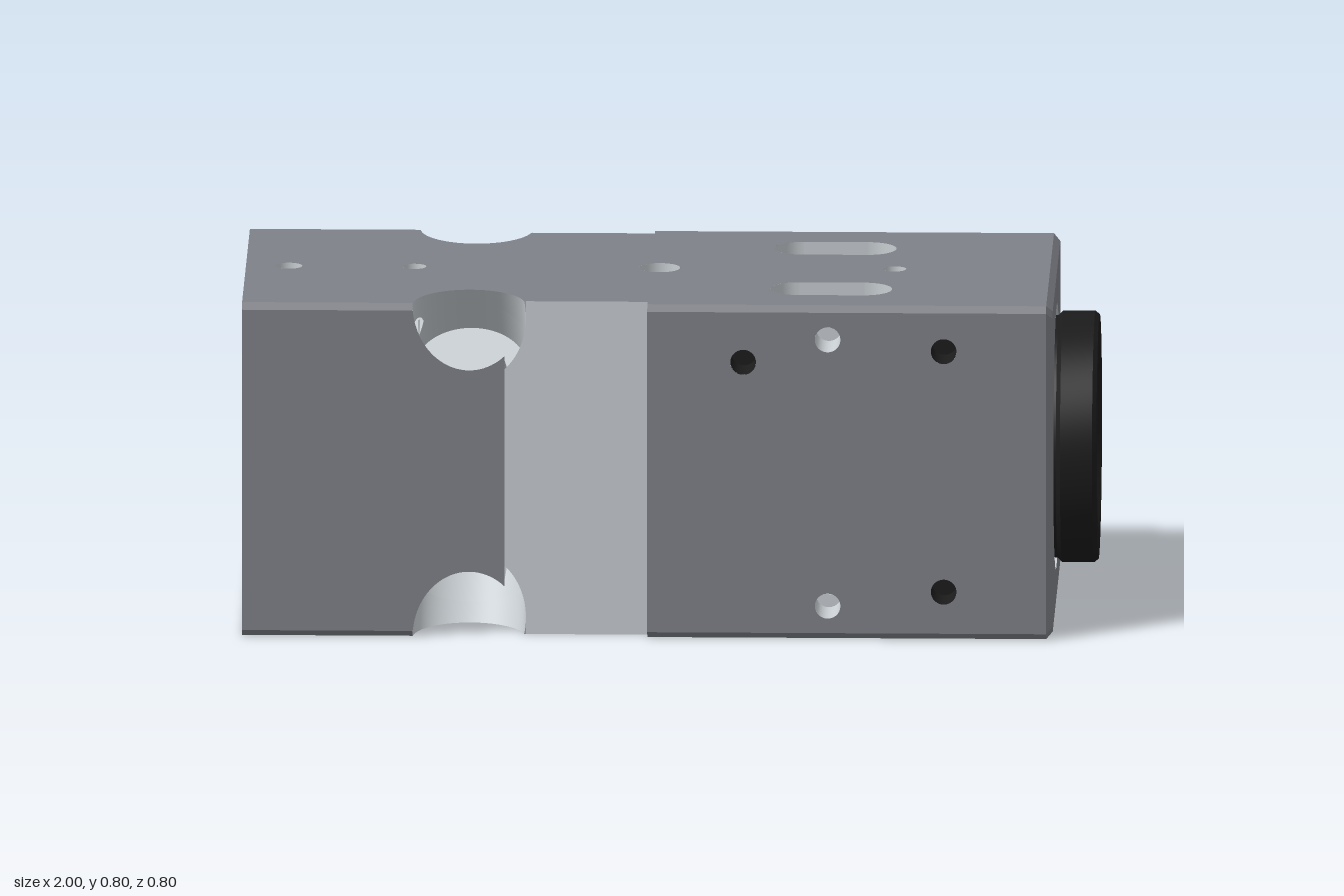
import * as THREE from 'three';
import { toCreasedNormals } from 'three/addons/utils/BufferGeometryUtils.js';
import { ParametricGeometry } from 'three/addons/geometries/ParametricGeometry.js';

const mat = (color) => new THREE.MeshStandardMaterial({ color, side: THREE.DoubleSide });
const V = (x, y, z) => new THREE.Vector3(x, y, z);
const SIGNS = [1, -1];

// Main sizes (the body axis runs along x at y = 0 before lifting)
const H = 0.4, C = 0.015, E = 0.9;                 // half height, chamfer, end of body
const R0 = -0.385, R1 = -0.05, RZ = 0.36;          // side recess
const PX = -0.4675, PA = 0.1325, PT = 0.158;       // corner pocket: centre, half width, reach
const PB = PT / Math.SQRT2, PD = -0.28;            // pocket half width across, depth
const BOLT = 0.28, BR = 0.06;                      // bolt hole position and radius
const SX = 0.377, SZ = 0.213, SR = 0.067, SL = 0.076; // slots
const R = 0.285;                                   // bore radius at the slots

export function createModel() {
  const model = new THREE.Group();
  const body = new THREE.Group();
  body.name = 'housing';
  body.position.y = H;
  model.add(body);
  const shell = mat(0x7f8188), metal = mat(0xc8ced2), black = mat(0x1b1b1b);

  const add = (name, geo, m) => {
    const mesh = new THREE.Mesh(geo, m);
    mesh.name = name;
    body.add(mesh);
    return mesh;
  };
  // Flat panel with u, v axes and an origin
  const panel = (name, shape, u, v, pos, m) => {
    const n = u.clone().cross(v);
    const geo = new THREE.ShapeGeometry(shape, 40);
    geo.applyMatrix4(new THREE.Matrix4().makeBasis(u, v, n).setPosition(pos));
    return add(name, geo, m);
  };
  // Surface given by a rule (u, v) -> point
  const surface = (name, fn, nu, nv, m) => {
    const geo = new ParametricGeometry((u, v, t) => t.copy(fn(u, v)), nu, nv);
    geo.computeVertexNormals();
    return add(name, geo, m);
  };
  const quad = (name, a, b, c, d, m) =>
    surface(name, (u, v) => a.clone().lerp(b, u).lerp(d.clone().lerp(c, u), v), 1, 1, m);
  // Open round wall between two points, with an optional floor at the second
  const tube = (name, r, a, b, m, floor) => {
    const dir = b.clone().sub(a);
    const q = new THREE.Quaternion().setFromUnitVectors(V(0, 1, 0), dir.clone().normalize());
    const t = add(name, new THREE.CylinderGeometry(r, r, dir.length(), 28, 1, true), m);
    t.position.copy(a).add(b).multiplyScalar(0.5);
    t.quaternion.copy(q);
    if (floor) {
      const f = add(name + 'Floor', new THREE.CircleGeometry(r, 28).rotateX(-Math.PI / 2), floor);
      f.position.copy(b);
      f.quaternion.copy(q);
    }
  };
  const lathe = (name, pts, m) => {
    const geo = new THREE.LatheGeometry(pts.map(([r, x]) => new THREE.Vector2(r, x)), 72);
    return add(name, toCreasedNormals(geo.rotateZ(-Math.PI / 2), 0.6), m);
  };
  const circle = (shape, x, y, r) => shape.holes.push(new THREE.Path().absarc(x, y, r, 0, Math.PI * 2, true));

  // Half width of the pocket mouth at x, and outlines that follow an edge rule
  const mouth = (x) => PT * Math.sqrt(Math.max(0, 1 - ((x - PX) / PA) ** 2));
  const outline = (x0, x1, edge) => {
    const xs = [x0, x1, R1 - 1e-4, R1 + 1e-4];
    for (let i = 0; i <= 48; i++) xs.push(PX - PA * Math.cos((Math.PI * i) / 48));
    const list = xs.filter((x) => x >= x0 && x <= x1).sort((a, b) => a - b);
    const top = list.map((x) => new THREE.Vector2(x, edge(x)));
    const low = list.map((x) => new THREE.Vector2(x, -edge(x))).reverse();
    return new THREE.Shape([...top, ...low]);
  };
  const inPocket = (x) => Math.abs(x - PX) < PA;
  const inRecess = (x) => x > R0 && x < R1;
  const X = V(1, 0, 0), Y = V(0, 1, 0), Z = V(0, 0, 1);

  // Top and bottom faces with slots and round holes
  const topEdge = (x) => Math.min(inRecess(x) ? RZ : H - C, inPocket(x) ? H - mouth(x) : H);
  for (const s of SIGNS) {
    const shape = outline(-1, E - C, topEdge);
    for (const k of SIGNS) {
      const slot = new THREE.Path();
      slot.absarc(SX + SL, k * SZ, SR, -Math.PI / 2, Math.PI / 2);
      slot.absarc(SX - SL, k * SZ, SR, Math.PI / 2, Math.PI * 1.5);
      shape.holes.push(slot);
    }
    const holes = [[-0.605, 0.028], [0.52, 0.028]];
    if (s > 0) holes.push([-0.9, 0.032], [-0.03, 0.048]);
    for (const [x, r] of holes) {
      circle(shape, x, 0, r);
      tube('threadedHole', r, V(x, s * H, 0), V(x, s * (H - 0.06), 0), metal, metal);
    }
    panel(s > 0 ? 'topFace' : 'bottomFace', shape, X, Z, V(0, s * H, 0), shell);
  }
  const port = add('portCentre', new THREE.CylinderGeometry(0.016, 0.016, 0.004, 20), black);
  port.position.set(-0.03, H - 0.057, 0);

  // Front and back faces, recess and cross holes
  const sideEdge = (x) => Math.min(H - C, inPocket(x) ? H - mouth(x) : H);
  const recessEdge = (x) => (inPocket(x) ? RZ - mouth(x) : H);
  for (const s of SIGNS) {
    panel('sideFaceRear', outline(-1, R0, sideEdge), X, Y, V(0, 0, s * H), shell);
    const main = outline(R1, E - C, () => H - C);
    for (const k of SIGNS) {
      circle(main, SX - 0.004, k * 0.32, 0.03);
      tube('crossHole', 0.03, V(SX - 0.004, k * 0.32, s * H), V(SX - 0.004, k * 0.32, s * (SZ + SR)), metal);
    }
    for (const [x, y] of [[0.175, 0.265], [0.645, 0.293], [0.645, -0.285]]) {
      circle(main, x, y, 0.03);
      tube('screwHole', 0.03, V(x, y, s * H), V(x, y, s * 0.3), black, black);
    }
    panel('sideFaceMain', main, X, Y, V(0, 0, s * H), shell);
    panel('recessFace', outline(R0, R1, recessEdge), X, Y, V(0, 0, s * RZ), metal);
    for (const [x, y] of [[R0, recessEdge(R0)], [R1, H]])
      quad('recessStep', V(x, -y, s * RZ), V(x, y, s * RZ), V(x, y - C, s * H), V(x, C - y, s * H), metal);
    // Chamfers along the long edges
    for (const k of SIGNS)
      for (const [a, b] of [[-1, PX - PA], [R1, E - C]])
        quad('edgeChamfer', V(a, k * H, s * (H - C)), V(b, k * H, s * (H - C)),
          V(b, k * (H - C), s * H), V(a, k * (H - C), s * H), shell);
  }
  for (const k of SIGNS)
    tube('crossHoleMiddle', 0.03, V(SX - 0.004, k * 0.32, SZ - SR), V(SX - 0.004, k * 0.32, SR - SZ), metal);

  // Corner pockets: round cutter sunk along the diagonal, crossed by a bolt hole
  for (const sy of SIGNS) for (const sz of SIGNS) {
    const at = (x, e, w) => V(x, sy * (H + (w + e) / Math.SQRT2), sz * (H + (w - e) / Math.SQRT2));
    const rows = (phi) => {
      const x = PX + PA * Math.cos(phi), e = PB * Math.sin(phi);
      let exit = Math.min(-Math.abs(e), -C / Math.SQRT2);
      if (inRecess(x)) exit = Math.min(exit, e - (H - RZ) * Math.SQRT2);
      const half = Math.cos(phi) < 0 ? Math.sqrt(Math.max(0, BR * BR - e * e)) : 0;
      const mid = (BOLT - H) * Math.SQRT2;
      return { x, e, w: [exit, Math.min(exit, mid + half), mid - half, PD] };
    };
    for (const i of [0, 2])
      surface('pocketWall', (u, v) => {
        const { x, e, w } = rows(u * Math.PI * 2);
        return at(x, e, w[i] + (w[i + 1] - w[i]) * v);
      }, 96, 1, metal);
    surface('pocketFloor', (u, v) => at(PX + PA * v * Math.cos(u * Math.PI * 2),
      PB * v * Math.sin(u * Math.PI * 2), PD), 48, 1, metal);
    tube('boltHole', BR, V(-1, sy * BOLT, sz * BOLT), V(PX - PA + 0.012, sy * BOLT, sz * BOLT), metal);
  }

  // Slot walls, reaching down to the bore
  const boreY = (z) => Math.sqrt(Math.max(0, R * R - z * z));
  for (const sy of SIGNS) for (const sz of SIGNS) {
    for (const sx of SIGNS)
      surface('slotEnd', (u, v) => {
        const a = (u - 0.5) * Math.PI, z = SZ + SR * Math.sin(a);
        return V(SX + sx * (SL + SR * Math.cos(a)), sy * (H + (boreY(z) - H) * v), sz * z);
      }, 20, 1, metal);
    for (const z of [SZ - SR, SZ + SR]) {
      const y = boreY(z), wall = new THREE.Shape();
      wall.moveTo(SX - SL, y).lineTo(SX + SL, y).lineTo(SX + SL, H).lineTo(SX - SL, H);
      circle(wall, SX - 0.004, 0.32, 0.03);
      panel('slotSide', wall, X, V(0, sy, 0), V(0, 0, sz * z), metal);
    }
  }

  // Stepped bore: plain lengths, then the slotted length as four strips
  const s0 = SX - SL - SR, s1 = SX + SL + SR;
  lathe('boreRear', [[0.285, -1], [0.285, -0.93], [0.262, -0.93], [0.262, -0.9], [0.272, -0.89],
    [0.272, 0.1], [R, 0.1], [R, s0]], metal);
  lathe('boreFront', [[R, s1], [R, 0.8], [0.312, 0.8], [0.312, E]], metal);
  const strip = (from, to, flip, axis) => surface('boreSlotted', (u, v) => {
    const dx = (SL + SR) * -Math.cos(v * Math.PI);
    const over = Math.max(0, Math.abs(dx) - SL), h = Math.sqrt(Math.max(0, SR * SR - over * over));
    const a0 = from(h), a = a0 + (to(h) - a0) * u;
    return axis ? V(SX + dx, flip * R * Math.cos(a), R * Math.sin(a)) : V(SX + dx, R * Math.cos(a), flip * R * Math.sin(a));
  }, 20, 32, metal);
  const inner = (h) => Math.asin((SZ - h) / R), outer = (h) => Math.asin((SZ + h) / R);
  for (const f of SIGNS) {
    strip((h) => -inner(h), inner, f, true);
    strip(outer, (h) => Math.PI - outer(h), f, false);
  }

  // End faces
  const octagon = (h) => [[h, h - C], [h - C, h], [C - h, h], [-h, h - C], [-h, C - h], [C - h, -h], [h - C, -h], [h, C - h]];
  const endShape = (h) => new THREE.Shape(octagon(h).map(([a, b]) => new THREE.Vector2(a, b)));
  const rear = endShape(H);
  circle(rear, 0, 0, 0.285);
  for (const a of SIGNS) for (const b of SIGNS) circle(rear, a * BOLT, b * BOLT, BR);
  for (const [z, y] of [[-0.12, 0.33], [0.33, 0.11], [-0.33, -0.01], [0.12, -0.33]]) {
    circle(rear, z, y, 0.024);
    tube('pinHole', 0.024, V(-1, y, z), V(-0.92, y, z), metal, metal);
  }
  panel('rearEndFace', rear, Z, Y, V(-1, 0, 0), shell);
  const front = endShape(H - C);
  circle(front, 0, 0, 0.312);
  panel('ringEndFace', front, Z, Y, V(E, 0, 0), shell);
  const o0 = octagon(H), o1 = octagon(H - C);
  o0.forEach(([z, y], i) => {
    const j = (i + 1) % 8;
    quad('endChamfer', V(E - C, y, z), V(E - C, o0[j][1], o0[j][0]), V(E, o1[j][1], o1[j][0]), V(E, o1[i][1], o1[i][0]), shell);
  });

  // Black mouth ring
  lathe('mouthRing', [[0.175, 0.56], [0.28, 0.56], [0.28, 0.87], [0.285, 0.905], [0.295, 0.915], [0.295, 0.99],
    [0.287, 1], [0.215, 1], [0.205, 0.99], [0.2, 0.88], [0.175, 0.86], [0.175, 0.56]], black);

  return model;
}
